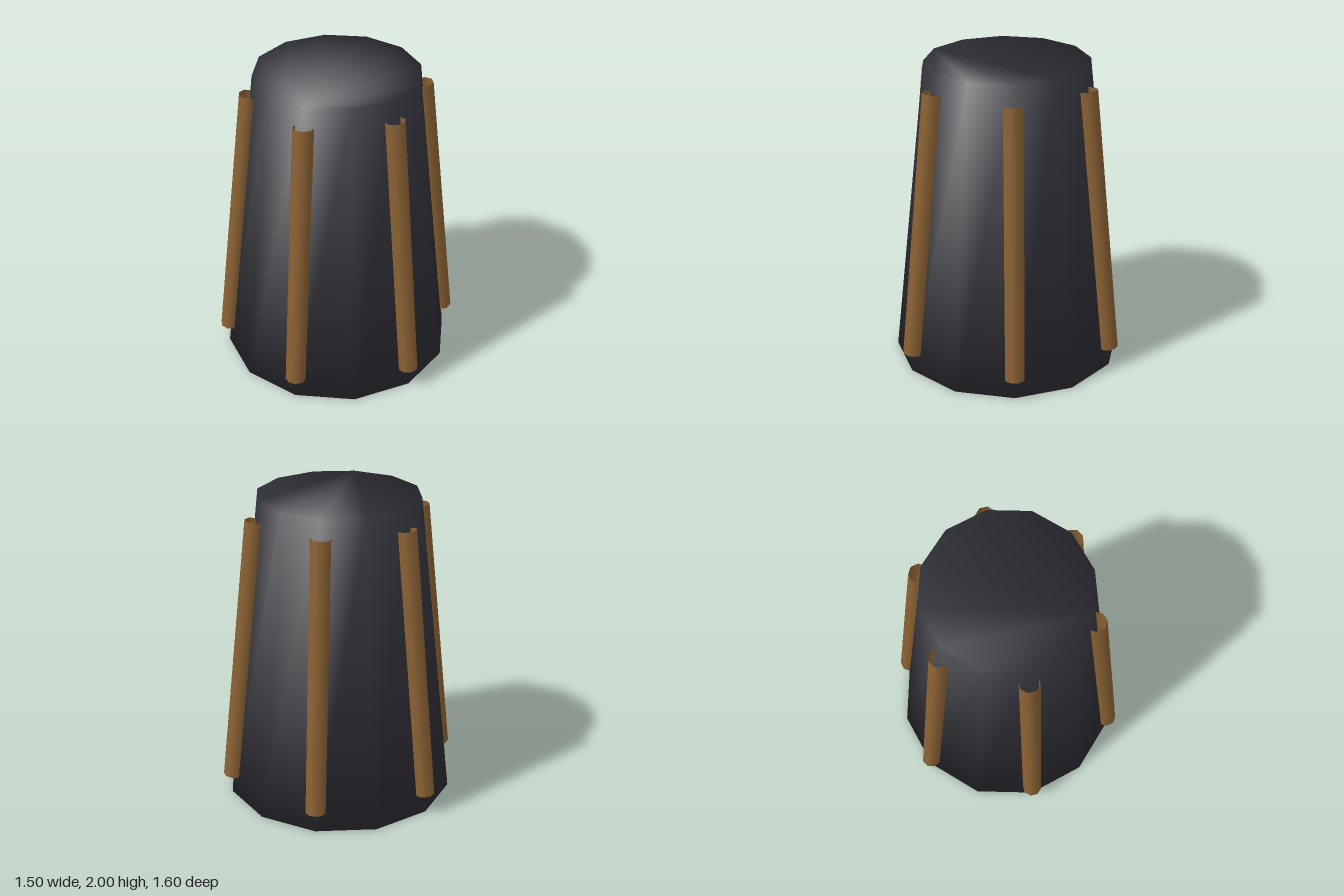
import * as THREE from 'three';

const SIDES = 12;

// Closed tapered drum; the rim normals are shared by wall and caps for a soft edge.
function taperedDrum(bottomRadius, topRadius, height) {
  const positions = [], normals = [], index = [];
  const rings = [
    { r: bottomRadius, y: 0, out: 0.784, up: -0.62 },
    { r: topRadius, y: height, out: 0.725, up: 0.69 },
  ];
  for (const { r, y, out, up } of rings) {
    for (let i = 0; i < SIDES; i++) {
      const a = (i / SIDES) * Math.PI * 2;
      const s = Math.sin(a), c = Math.cos(a);
      positions.push(r * s, y, r * c);
      normals.push(out * s, up, out * c);
    }
  }
  // wall
  for (let i = 0; i < SIDES; i++) {
    const j = (i + 1) % SIDES;
    index.push(i, j, SIDES + j, i, SIDES + j, SIDES + i);
  }
  // bottom and top caps
  for (let i = 1; i < SIDES - 1; i++) {
    index.push(0, i + 1, i);
    index.push(SIDES, SIDES + i, SIDES + i + 1);
  }
  const geometry = new THREE.BufferGeometry();
  geometry.setAttribute('position', new THREE.Float32BufferAttribute(positions, 3));
  geometry.setAttribute('normal', new THREE.Float32BufferAttribute(normals, 3));
  geometry.setIndex(index);
  return geometry;
}

export function createModel() {
  const group = new THREE.Group();
  group.name = 'taperedDrum';

  const dark = new THREE.MeshStandardMaterial({ color: 0x2e2e36 });
  dark.name = 'dark slate';
  const wood = new THREE.MeshStandardMaterial({ color: 0x8b6234, side: THREE.DoubleSide });
  wood.name = 'brown wood';

  // main body
  const body = new THREE.Mesh(taperedDrum(0.75, 0.525, 2), dark);
  body.name = 'body';
  group.add(body);

  // six open-ended octagonal rods leaning along the wall
  const rodGeometry = new THREE.CylinderGeometry(0.065, 0.065, 1.755, 8, 1, true, Math.PI / 8);
  for (let i = 0; i < 6; i++) {
    const pivot = new THREE.Group();
    pivot.name = 'rod' + (i + 1);
    pivot.rotation.y = (i * Math.PI) / 3;
    const rod = new THREE.Mesh(rodGeometry, wood);
    rod.name = 'rodTube';
    rod.position.set(0, 1.005, 0.642);
    rod.rotation.x = -Math.atan(0.1125);
    pivot.add(rod);
    group.add(pivot);
  }
  return group;
}
